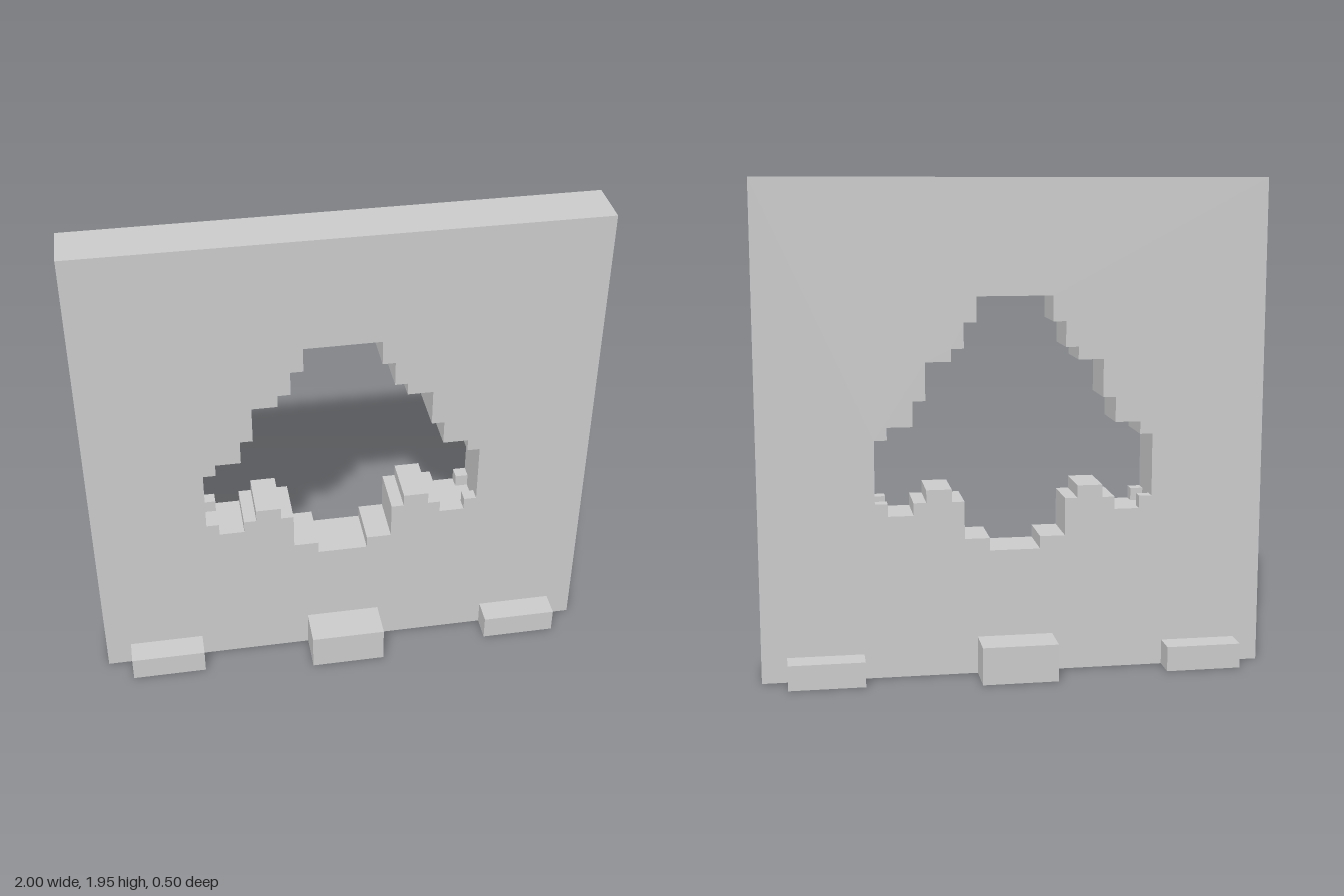
import * as THREE from 'three';

export function createModel() {
  const model = new THREE.Group();
  const material = new THREE.MeshStandardMaterial({ color: 0xcccccc, flatShading: true });

  function add(name, geometry, x = 0, y = 0, z = 0) {
    const mesh = new THREE.Mesh(geometry, material);
    mesh.name = name;
    mesh.position.set(x, y, z);
    model.add(mesh);
  }

  // Upright slab with a stepped, mirrored opening (right half, top to bottom)
  const half = [
    [0.15, 1.5], [0.15, 1.4], [0.2, 1.4], [0.2, 1.3], [0.25, 1.3], [0.25, 1.25],
    [0.35, 1.25], [0.35, 1.1], [0.4, 1.1], [0.4, 1], [0.5, 1], [0.5, 0.95],
    [0.55, 0.95], [0.55, 0.65], [0.4, 0.65], [0.4, 0.7], [0.35, 0.7], [0.35, 0.75],
    [0.25, 0.75], [0.25, 0.7], [0.2, 0.7], [0.2, 0.55], [0.1, 0.55], [0.1, 0.5],
  ];
  const outline = [...half, ...half.map(([x, y]) => [-x, y]).reverse()];
  const toPoints = (list) => list.map(([x, y]) => new THREE.Vector2(x, y));
  const slab = new THREE.Shape(toPoints([[-1, 0], [1, 0], [1, 1.95], [-1, 1.95]]));
  slab.holes.push(new THREE.Path(toPoints(outline)));
  add('wall', new THREE.ExtrudeGeometry(slab, { depth: 0.2, bevelEnabled: false }), 0, 0, -0.1);

  for (const z of [-1, 1]) {
    // Corner blocks at the opening's lower ends, with a gap between front and back
    for (const x of [-1, 1]) {
      add('cornerBlock', new THREE.BoxGeometry(0.05, 0.05, 0.05), x * 0.525, 0.675, z * 0.075);
      add('sideFoot', new THREE.BoxGeometry(0.3, 0.1, 0.1), x * 0.75, 0.05, z * 0.15);
    }
    // Larger foot in the middle
    add('middleFoot', new THREE.BoxGeometry(0.3, 0.15, 0.15), 0, 0.075, z * 0.175);
  }
  return model;
}
